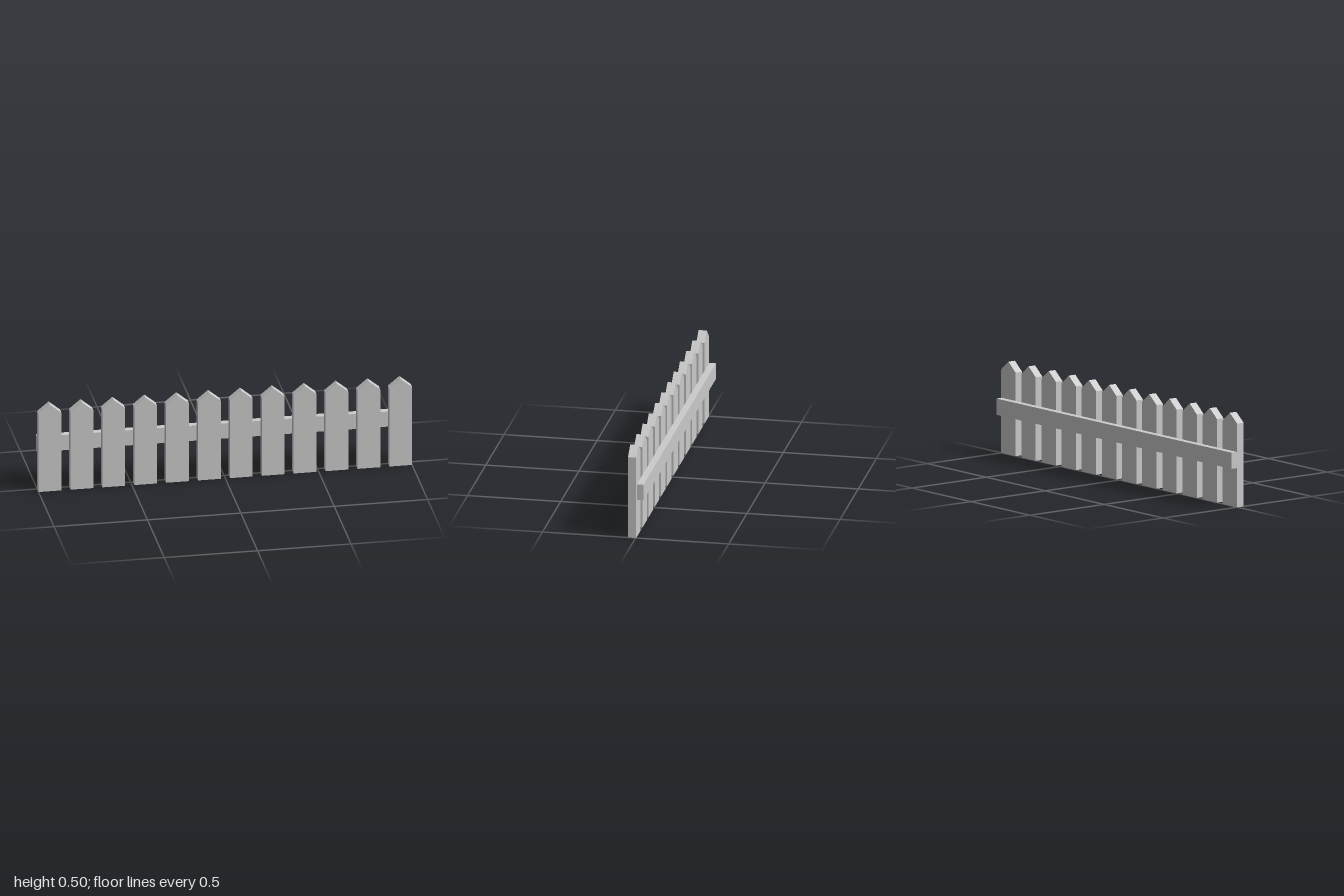
import * as THREE from 'three';

const COUNT = 12, WIDTH = 0.122, SHOULDER = 0.448, PEAK = 0.498;
const FRONT = 0.041, BACK = -0.003;

export function createModel() {
  const fence = new THREE.Group();
  fence.name = 'picketFence';
  const wood = new THREE.MeshStandardMaterial({ color: 0xcccccc, flatShading: true });

  // Pointed picket outline, extruded to board thickness
  const h = WIDTH / 2;
  const outline = new THREE.Shape([
    [-h, 0], [h, 0], [h, SHOULDER], [0, PEAK], [-h, SHOULDER],
  ].map(([x, y]) => new THREE.Vector2(x, y)));
  const picketGeometry = new THREE.ExtrudeGeometry(outline, { depth: FRONT - BACK, bevelEnabled: false });

  // Evenly spaced row of pickets
  const pickets = new THREE.Group();
  pickets.name = 'pickets';
  const step = (2 - WIDTH) / (COUNT - 1);
  for (let i = 0; i < COUNT; i++) {
    const picket = new THREE.Mesh(picketGeometry, wood);
    picket.name = `picket${i + 1}`;
    picket.position.set(-1 + h + i * step, 0, BACK);
    pickets.add(picket);
  }
  fence.add(pickets);

  // Horizontal rail behind the pickets, slightly short at the left end
  const rail = new THREE.Mesh(new THREE.BoxGeometry(1.993, 0.087, 0.036), wood);
  rail.name = 'rail';
  rail.position.set(-0.0035, 0.2535, -0.023);
  fence.add(rail);

  return fence;
}
